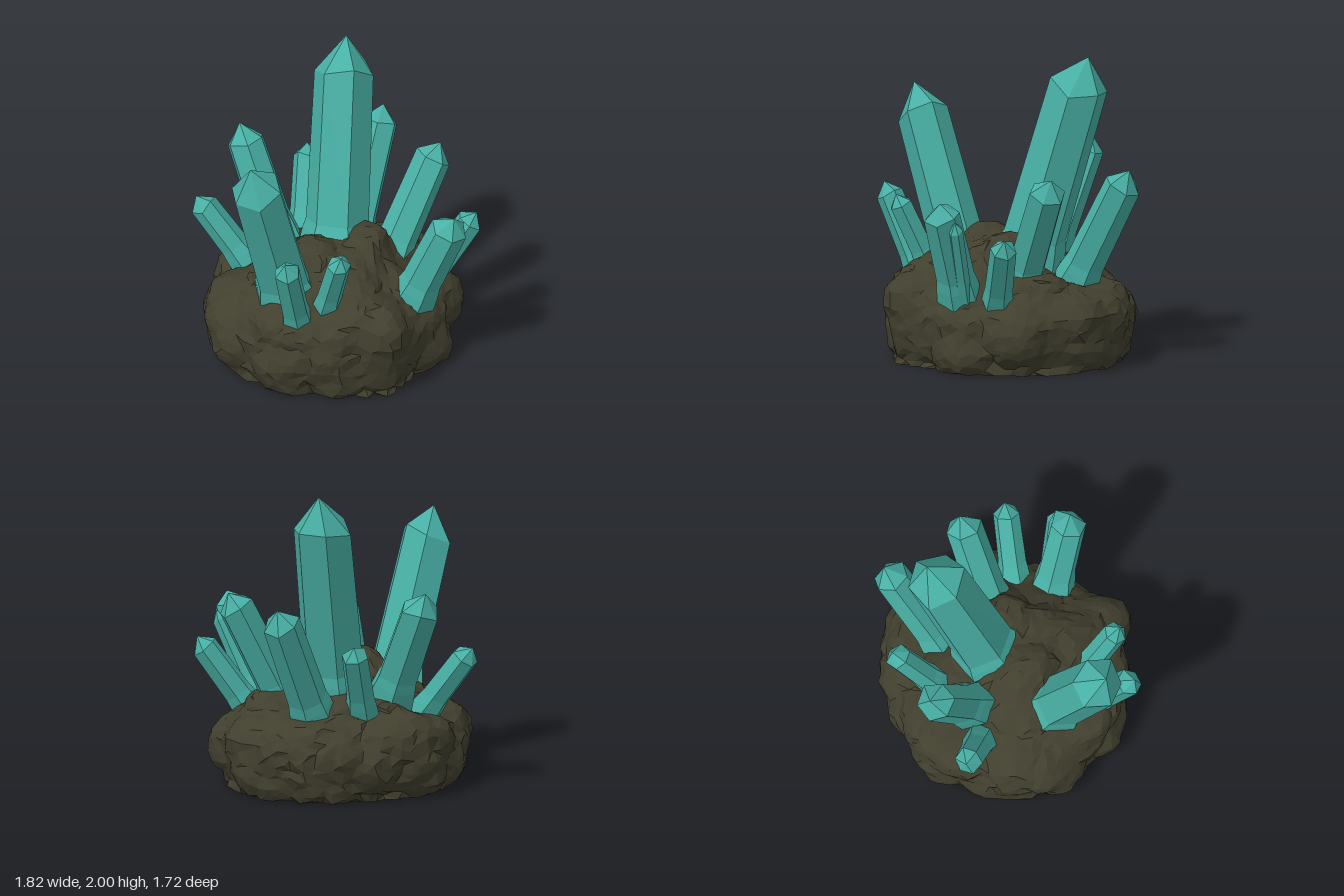
import * as THREE from 'three';
import { mergeVertices } from 'three/addons/utils/BufferGeometryUtils.js';

const crystalMat = new THREE.MeshStandardMaterial({ color: 0x48b0a5 });
const rockMat = new THREE.MeshStandardMaterial({ color: 0x413f2e });
crystalMat.name = 'teal crystal';
rockMat.name = 'dark rock';

function seeded(seed) {
  return () => {
    seed = (seed * 1664525 + 1013904223) % 4294967296;
    return seed / 4294967296;
  };
}

// split the faces so that every facet is flat
function faceted(geometry) {
  const flat = geometry.toNonIndexed();
  flat.computeVertexNormals();
  return flat;
}

// lumpy rock: a ball mapped onto a rounded profile around an uneven outline
function buildRock() {
  const rand = seeded(11);
  // outline radius every 20 degrees, starting at +x and turning to +z
  const outline = [0.89, 0.87, 0.81, 0.81, 0.79, 0.88, 0.79, 0.74, 0.82,
    0.85, 0.85, 0.82, 0.84, 0.87, 0.82, 0.84, 0.85, 0.89];
  const outlineAt = (a) => {
    const t = ((a / (Math.PI * 2)) * 18 + 18) % 18, i = Math.floor(t), f = t - i;
    return outline[i] * (1 - f) + outline[(i + 1) % 18] * f;
  };
  // hills and hollows on the upper side: x, z, height, radius, steepness
  const hills = [[0.01, 0.08, 0.2, 0.37, 6], [-0.15, 0.62, 0.06, 0.22, 4],
    [0.38, 0.48, -0.07, 0.22, 4], [0.45, -0.3, -0.04, 0.2, 4], [-0.35, -0.55, -0.04, 0.2, 4]];
  // profile from the top centre, round the side, to the bottom centre
  const profile = new THREE.CurvePath();
  profile.add(new THREE.SplineCurve([[0, 0.63], [0.25, 0.63], [0.5, 0.62], [0.7, 0.58],
    [0.86, 0.51], [0.96, 0.41], [0.99, 0.3], [0.98, 0.18], [0.95, 0.08], [0.9, 0]]
    .map(([r, y]) => new THREE.Vector2(r, y))));
  profile.add(new THREE.LineCurve(new THREE.Vector2(0.9, 0), new THREE.Vector2(0, 0)));
  const sideShare = profile.curves[0].getLength() / profile.getLength();

  const ball = new THREE.IcosahedronGeometry(1, 13);
  ball.deleteAttribute('normal');
  ball.deleteAttribute('uv');
  const geometry = mergeVertices(ball, 1e-4), pos = geometry.attributes.position;
  const points = [];
  for (let k = 0; k < pos.count; k++) {
    // loosen the regular grid of the ball a little
    const d = new THREE.Vector3(rand() - 0.5, rand() - 0.5, rand() - 0.5).multiplyScalar(0.05)
      .add(new THREE.Vector3().fromBufferAttribute(pos, k)).normalize();
    const u = Math.acos(THREE.MathUtils.clamp(d.y, -1, 1)) / Math.PI;
    const a = Math.atan2(d.z, d.x), p = profile.getPointAt(u), r = p.x * outlineAt(a);
    const v = new THREE.Vector3(Math.cos(a) * r, p.y, Math.sin(a) * r);
    const under = u > sideShare;
    const rise = THREE.MathUtils.smoothstep(v.y, 0.3, 0.6);
    for (const [x, z, height, radius, steep] of hills) {
      v.y += rise * height * Math.exp(-((Math.hypot(v.x - x, v.z - z) / radius) ** steep));
    }
    points.push({ v, under });
  }

  // rounded lumps with creases between them
  const sides = points.filter((p) => !p.under);
  const lumps = Array.from({ length: 60 }, () => sides[Math.floor(rand() * sides.length)].v.clone());
  points.forEach(({ v, under }, k) => {
    const near = Math.min(...lumps.map((s) => s.distanceTo(v)));
    const push = 0.033 - Math.min(0.09, near * near * 1.8) + (rand() - 0.5) * 0.022;
    const out = new THREE.Vector3(v.x, (v.y - 0.3) * 1.2, v.z).normalize();
    if (!under) v.addScaledVector(out, push);
    pos.setXYZ(k, v.x, under ? 0 : Math.max(0, v.y), v.z);
  });
  const mesh = new THREE.Mesh(faceted(geometry), rockMat);
  mesh.name = 'rockBase';
  return mesh;
}

// six-sided crystal from its foot to its tip, with a ragged flared foot sunk into the rock
function buildCrystal(name, foot, tip, radius, shoulder, turn, seed) {
  const rand = seeded(seed);
  const a = new THREE.Vector3(...foot), b = new THREE.Vector3(...tip);
  const axis = b.clone().sub(a), len = axis.length();
  const profile = [[radius * 1.3, -0.1], [radius * 1.17, 0.03], [radius * 1.06, 0.1],
    [radius, len * shoulder], [0, len]].map(([r, y]) => new THREE.Vector2(r, y));
  const geometry = new THREE.LatheGeometry(profile, 6, turn);
  // slightly uneven sides and shoulder
  const rows = profile.length, pos = geometry.attributes.position;
  for (let s = 0; s < 6; s++) {
    const wide = 0.94 + rand() * 0.13, rise = (rand() - 0.5) * radius * 0.4;
    for (const col of s === 0 ? [0, 6] : [s]) {
      for (let r = 0; r < rows - 1; r++) {
        const k = col * rows + r;
        pos.setXYZ(k, pos.getX(k) * wide, pos.getY(k) + (r === 3 ? rise : 0), pos.getZ(k) * wide);
      }
    }
  }
  const mesh = new THREE.Mesh(faceted(geometry), crystalMat);
  mesh.name = name;
  mesh.position.copy(a);
  mesh.quaternion.setFromUnitVectors(new THREE.Vector3(0, 1, 0), axis.normalize());
  return mesh;
}

export function createModel() {
  const group = new THREE.Group();
  group.name = 'crystalCluster';
  group.add(buildRock());
  // name, foot, tip, radius, shoulder fraction, turn
  [
    ['tallCrystal', [0.14, 0.7, -0.13], [0.42, 2.0, -0.38], 0.198, 0.835, 0.63],
    ['rightLargeCrystal', [-0.44, 0.6, 0.04], [-0.82, 1.69, 0.14], 0.175, 0.83, 0.44],
    ['backCrystal', [-0.11, 0.68, -0.46], [-0.145, 1.36, -0.79], 0.128, 0.84, 0.5],
    ['backRightCrystal', [-0.33, 0.53, -0.53], [-0.52, 0.95, -0.78], 0.09, 0.84, 0.2],
    ['backLeftCrystal', [0.17, 0.6, -0.52], [0.36, 1.05, -0.71], 0.088, 0.85, 0.7],
    ['rightSmallCrystal', [-0.55, 0.52, 0.29], [-0.76, 1.07, 0.42], 0.088, 0.86, 0.4],
    ['frontRightCrystal', [-0.355, 0.6, 0.36], [-0.41, 1.06, 0.57], 0.078, 0.84, 0.0],
    ['frontCrystal', [0.255, 0.54, 0.53], [0.38, 1.15, 0.77], 0.12, 0.86, 0.6],
    ['frontSpur', [0.34, 0.53, 0.55], [0.49, 1.04, 0.73], 0.05, 0.88, 0.2],
    ['frontLeftCrystal', [0.48, 0.48, 0.38], [0.77, 0.94, 0.53], 0.088, 0.85, 0.3],
    ['leftCrystal', [0.4, 0.59, 0.12], [0.77, 1.3, 0.16], 0.12, 0.86, 0.8],
    ['leftBackCrystal', [0.42, 0.56, -0.3], [0.79, 1.3, -0.45], 0.125, 0.85, 0.2],
  ].forEach((c, i) => group.add(buildCrystal(...c, 31 + i * 977)));
  return group;
}
